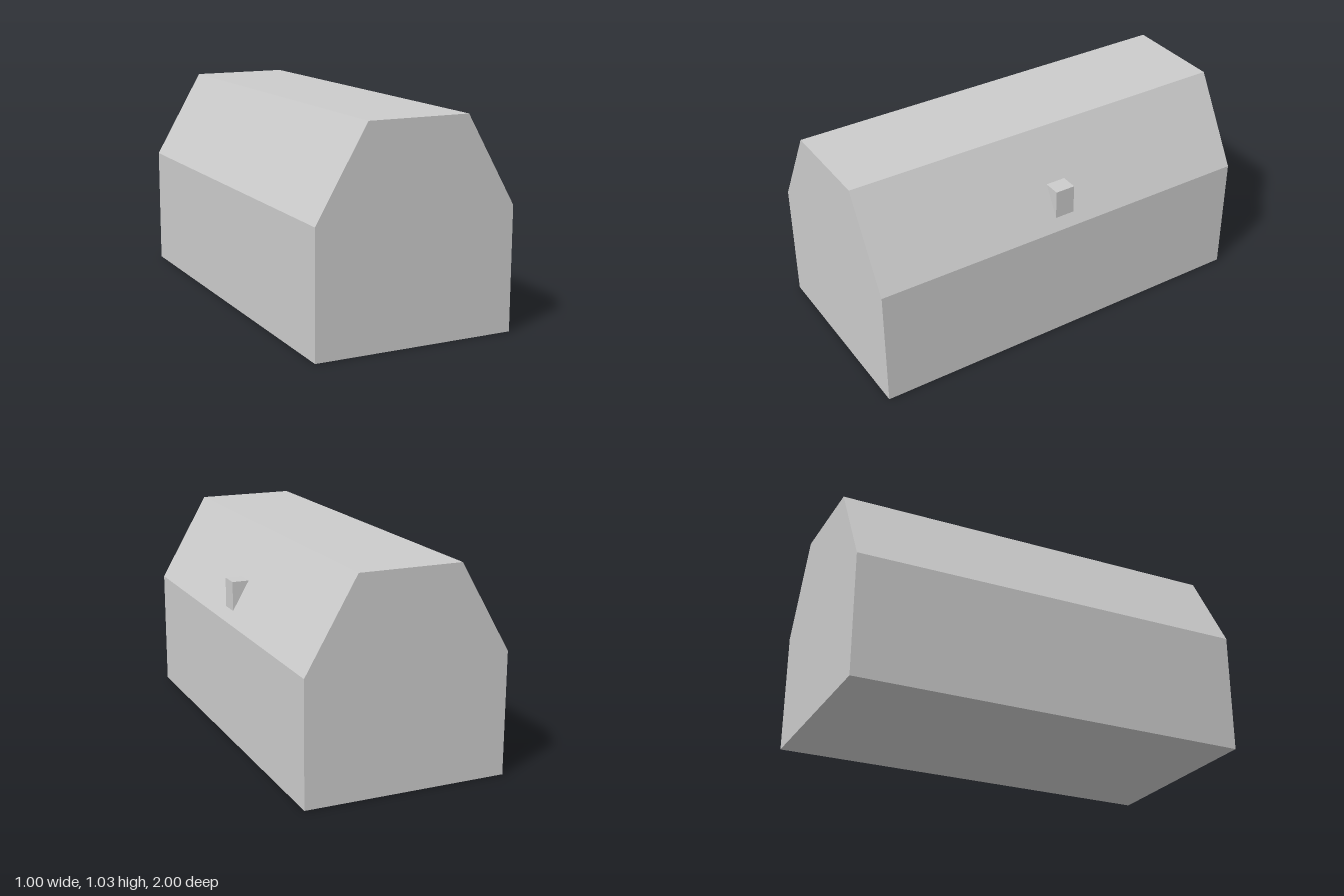
import * as THREE from 'three';

export function createModel() {
  const group = new THREE.Group();
  const material = new THREE.MeshStandardMaterial({ color: 0xcccccc, flatShading: true });

  // Body: straight walls topped by half a hexagon, run along z
  const wall = 0.6, half = 0.5, length = 2;
  const top = wall + half * Math.sin(Math.PI / 3);
  const profile = new THREE.Shape([
    [-half, 0], [half, 0], [half, wall],
    [half / 2, top], [-half / 2, top], [-half, wall],
  ].map(([x, y]) => new THREE.Vector2(x, y)));
  const bodyGeometry = new THREE.ExtrudeGeometry(profile, { depth: length, bevelEnabled: false });
  bodyGeometry.translate(0, 0, -length / 2);
  const body = new THREE.Mesh(bodyGeometry, material);
  body.name = 'body';
  group.add(body);

  // Small block standing out of the sloped side at mid length
  const block = new THREE.Mesh(new THREE.BoxGeometry(0.1, 0.2, 0.1), material);
  block.name = 'sideBlock';
  block.position.set(0.418, 0.7, 0);
  group.add(block);

  return group;
}
